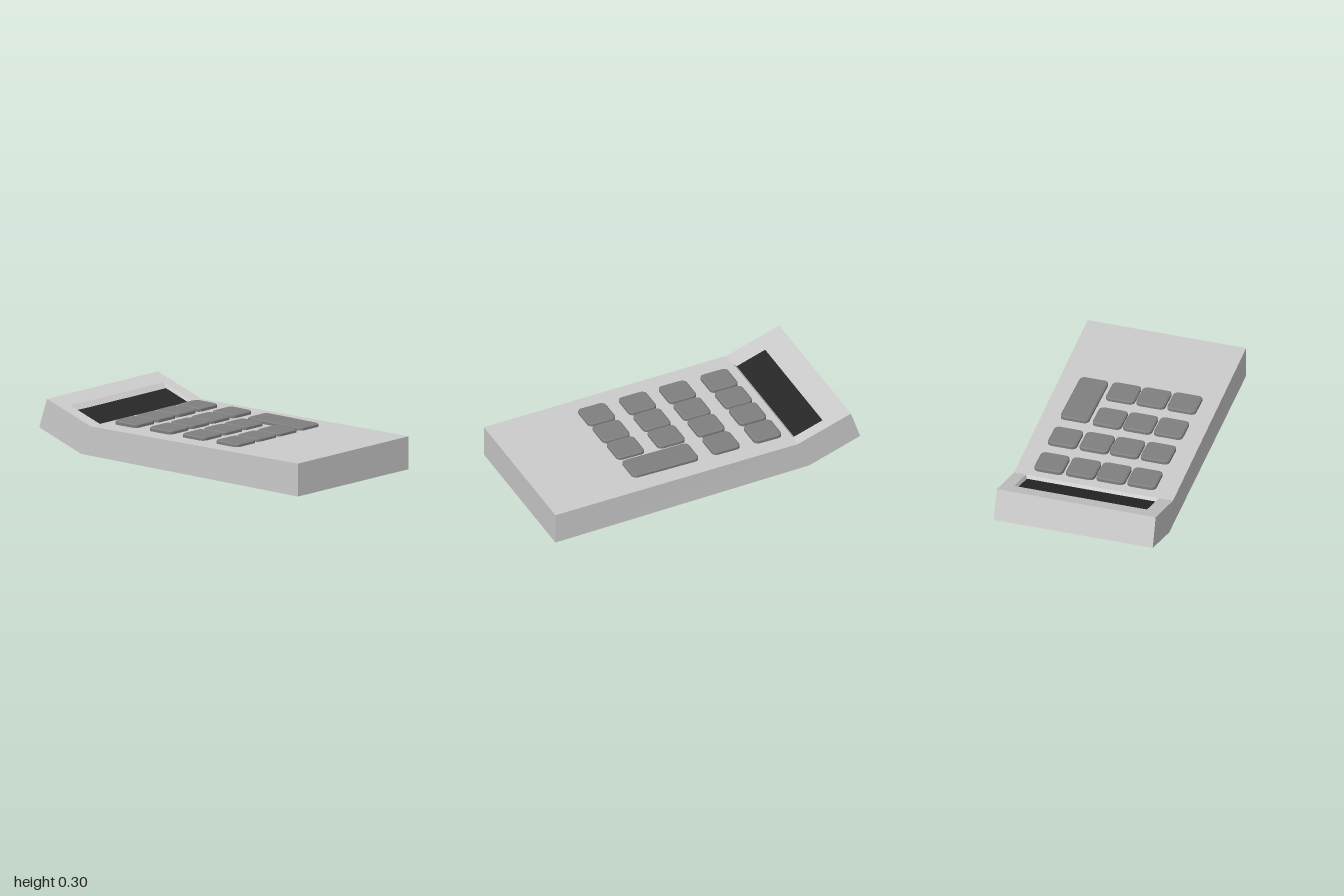
import * as THREE from 'three';

const grey = new THREE.MeshStandardMaterial({ color: 0xcccccc });
const keyGrey = new THREE.MeshStandardMaterial({ color: 0x7f7f7f });
const dark = new THREE.MeshStandardMaterial({ color: 0x272727 });

// Flat-faced geometry from four-cornered faces, corners counter-clockwise from outside
function quads(list) {
  const pos = [];
  for (const [a, b, c, d] of list) pos.push(...a, ...b, ...c, ...a, ...c, ...d);
  const g = new THREE.BufferGeometry();
  g.setAttribute('position', new THREE.Float32BufferAttribute(pos, 3));
  g.computeVertexNormals();
  return g;
}

// Rectangle lying along x on a line from (x0,y0) to (x1,y1): near-left, near-right, far-right, far-left
const rect = (x0, y0, x1, y1, back, front) =>
  [[x0, y0, front], [x1, y1, front], [x1, y1, back], [x0, y0, back]];

// The four faces joining an outer rectangle to an inner one
const ring = (outer, inner) => outer.map((p, i) => {
  const j = (i + 1) % 4;
  return [p, outer[j], inner[j], inner[i]];
});

export function createModel() {
  const model = new THREE.Group();
  const add = (name, geometry, material) => {
    const mesh = new THREE.Mesh(geometry, material);
    mesh.name = name;
    model.add(mesh);
    return mesh;
  };

  // Body cross-sections: raised display end, fold, straight end
  const section = (tx, ty, bx, by, back, front) =>
    [[tx, ty, front], [tx, ty, back], [bx, by, back], [bx, by, front]];
  const sections = [
    section(-0.94, 0.3, -1, 0.12, -0.47, 0.505),
    section(-0.595, 0.187, -0.67, 0.01, -0.47, 0.505),
    section(1, 0.198, 1, 0, -0.51, 0.463),
  ];
  const faces = [];
  for (let s = 0; s < 2; s++) {
    const a = sections[s], b = sections[s + 1];
    for (let i = 0; i < 4; i++) {
      if (s === 0 && i === 0) continue; // sloped top holds the display opening
      const j = (i + 1) % 4;
      faces.push([a[i], b[i], b[j], a[j]]);
    }
  }
  faces.push(sections[0], [...sections[2]].reverse());

  // Sloped top with a bevelled display recess
  const slope = rect(-0.94, 0.3, -0.595, 0.187, -0.47, 0.505);
  const opening = rect(-0.83, 0.264, -0.597, 0.1877, -0.397, 0.422);
  const floor = rect(-0.8, 0.235, -0.615, 0.173, -0.385, 0.403);
  faces.push(...ring(slope, opening), ...ring(opening, floor));
  add('body', quads(faces), grey);
  add('displayScreen', quads([floor]), dark);

  // Keys: rounded outline with a small chamfer around the top
  const bevel = 0.008;
  const addKey = (x, z, w, d) => {
    const hx = w / 2 - bevel, hz = d / 2 - bevel, r = 0.022;
    const s = new THREE.Shape();
    s.absarc(hx - r, hz - r, r, 0, Math.PI / 2);
    s.absarc(-hx + r, hz - r, r, Math.PI / 2, Math.PI);
    s.absarc(-hx + r, -hz + r, r, Math.PI, Math.PI * 1.5);
    s.absarc(hx - r, -hz + r, r, Math.PI * 1.5, Math.PI * 2);
    s.closePath();
    const g = new THREE.ExtrudeGeometry(s, {
      depth: 0.022, bevelEnabled: true, bevelSize: bevel,
      bevelThickness: 0.006, bevelSegments: 1, curveSegments: 4,
    });
    g.rotateX(-Math.PI / 2);
    const key = add('key', g, keyGrey);
    key.position.set(x, 0.183 + (x + 0.6) * 0.003, z);
  };
  const columns = [-0.45, -0.18, 0.08, 0.345];
  const rows = [-0.28, -0.087, 0.098, 0.286];
  rows.forEach((z, r) => columns.forEach((x, c) => {
    if (r === 0 && c > 1) return;
    addKey(x + (r - 1.5) * 0.004, z, 0.178, 0.176);
  }));
  addKey(0.212, -0.287, 0.43, 0.174);
  model.children[model.children.length - 1].name = 'wideKey';

  return model;
}
